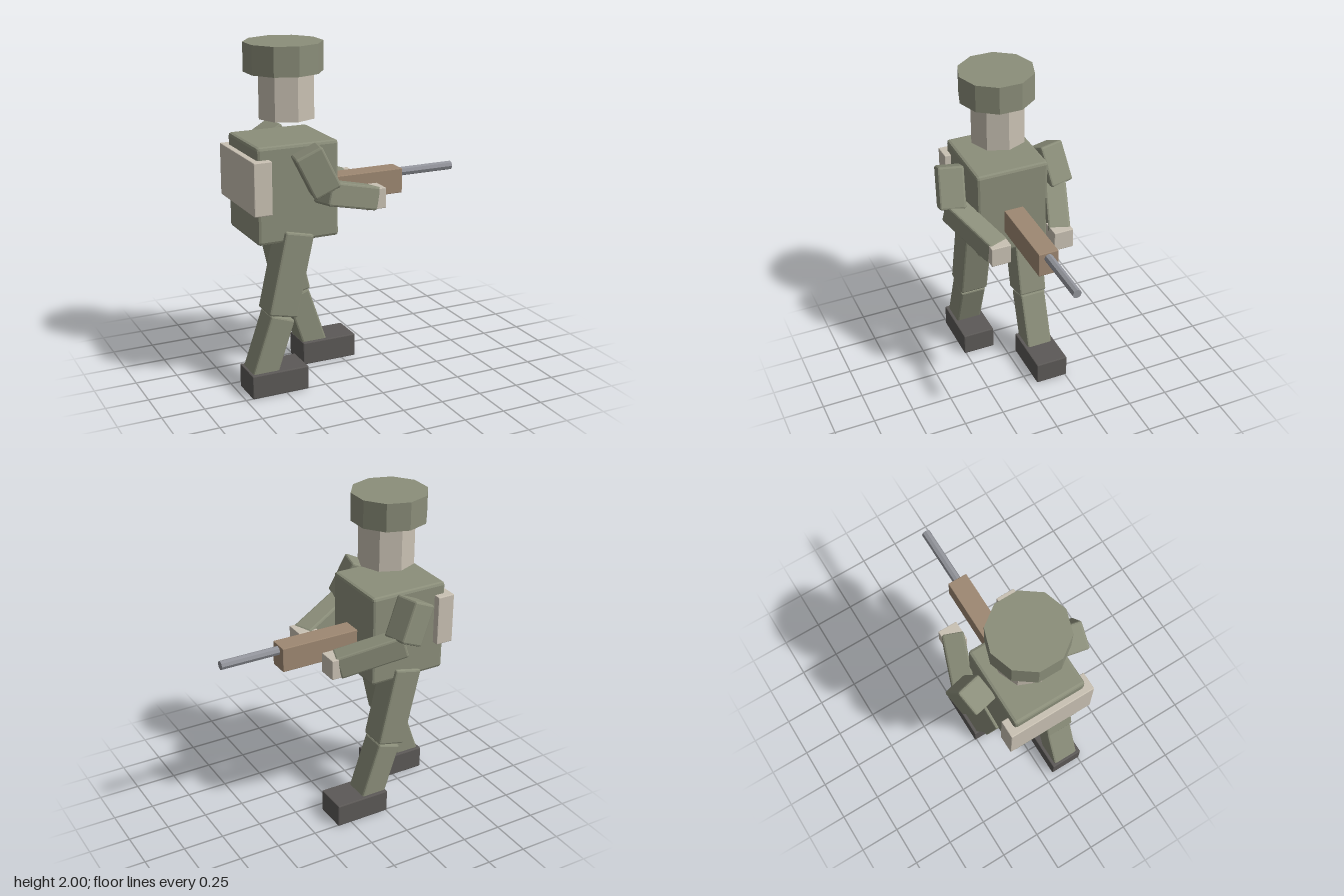
import * as THREE from 'three';
import { RoundedBoxGeometry } from 'three/addons/geometries/RoundedBoxGeometry.js';

const material = (name, color) => {
  const m = new THREE.MeshStandardMaterial({ color, flatShading: true });
  m.name = name;
  return m;
};

export function createModel() {
  const olive = material('olive cloth', 0x8b8e7a);
  const beige = material('pale beige', 0xc9c1b3);
  const wood = material('brown wood', 0x9e8872);
  const dark = material('dark leather', 0x5c5957);
  const steel = material('grey steel', 0x92949b);

  const group = new THREE.Group();
  group.name = 'soldier';
  const v = (x, y, z) => new THREE.Vector3(x, y, z);

  const add = (name, geometry, mat) => {
    const mesh = new THREE.Mesh(geometry, mat);
    mesh.name = name;
    group.add(mesh);
    return mesh;
  };

  // Box with slim chamfered edges
  const chamferBox = (w, h, d, r = 0.012) => {
    const g = new RoundedBoxGeometry(w, h, d, 1, r);
    g.computeVertexNormals();
    return g;
  };

  // Upright box given by its lowest and highest corners
  const block = (name, mat, min, max, r) => {
    const [w, h, d] = max.map((m, i) => m - min[i]);
    add(name, chamferBox(w, h, d, r), mat)
      .position.set(...max.map((m, i) => (m + min[i]) / 2));
  };

  // Box running along an axis between two points, with one face turned to `side`
  const limb = (name, top, bottom, side, width, depth) => {
    const y = top.clone().sub(bottom);
    const length = y.length();
    y.normalize();
    const x = y.clone().cross(side).normalize();
    const z = x.clone().cross(y);
    const mesh = add(name, chamferBox(width, length, depth), olive);
    mesh.quaternion.setFromRotationMatrix(new THREE.Matrix4().makeBasis(x, y, z));
    mesh.position.copy(top).add(bottom).multiplyScalar(0.5);
  };

  const cylinder = (name, mat, r, h, sides) =>
    add(name, new THREE.CylinderGeometry(r, r, h, sides), mat);

  // Body, pack and head
  block('torso', olive, [-0.643, 0.9, -0.227], [-0.15, 1.462, 0.225], 0.018);
  block('backpack', beige, [-0.678, 1.085, -0.27], [-0.57, 1.392, 0.265], 0.005);
  cylinder('head', beige, 0.168, 0.265, 8).position.set(-0.37, 1.7025, 0);
  cylinder('helmet', olive, 0.226, 0.167, 10).position.set(-0.385, 1.9165, 0);

  // Rifle
  block('rifleBody', wood, [-0.147, 1.05, -0.062], [0.346, 1.2, 0.06], 0.004);
  const barrel = cylinder('rifleBarrel', steel, 0.027, 0.37, 8);
  barrel.rotation.z = -Math.PI / 2;
  barrel.position.set(0.525, 1.165, 0);

  // Arms, mirrored across the body
  for (const s of [1, -1]) {
    const label = s > 0 ? 'Near' : 'Far';
    const centreLimb = (name, c, axis, side, width, depth) => {
      const half = v(axis[0], axis[1], axis[2] * s).multiplyScalar(0.5);
      const mid = v(c[0], c[1], c[2] * s);
      limb(name + label, mid.clone().sub(half), mid.clone().add(half),
        v(side[0], side[1], side[2] * s), width, depth);
    };
    centreLimb('upperArm', [-0.335, 1.326, 0.323], [0.106, -0.228, 0.031],
      [-0.218, 0.031, 0.975], 0.166, 0.156);
    centreLimb('forearm', [-0.113, 1.148, 0.266], [0.367, -0.111, -0.139],
      [0.35, 0, 0.93], 0.138, 0.13);
    const z = [0.137 * s, 0.258 * s].sort((a, b) => a - b);
    block('hand' + label, beige, [0.012, 1.035, z[0]], [0.135, 1.157, z[1]], 0.004);
  }

  // Legs in mid stride
  const legs = [
    { name: 'Trailing', z: 0.157, knee: -0.508, shin: -0.505, ankle: -0.634, heel: -0.71 },
    { name: 'Leading', z: -0.157, knee: -0.286, shin: -0.28, ankle: -0.155, heel: -0.257 },
  ];
  for (const { name, z, knee, shin, ankle, heel } of legs) {
    const side = v(0, 0, 1);
    limb('thigh' + name, v(-0.397, 0.95, z), v(knee, 0.465, z), side, 0.178, 0.178);
    limb('shin' + name, v(shin, 0.458, z), v(ankle, 0.085, z), side, 0.152, 0.165);
    block('boot' + name, dark, [heel, 0, z - 0.103], [heel + 0.348, 0.142, z + 0.103], 0.006);
  }

  return group;
}
